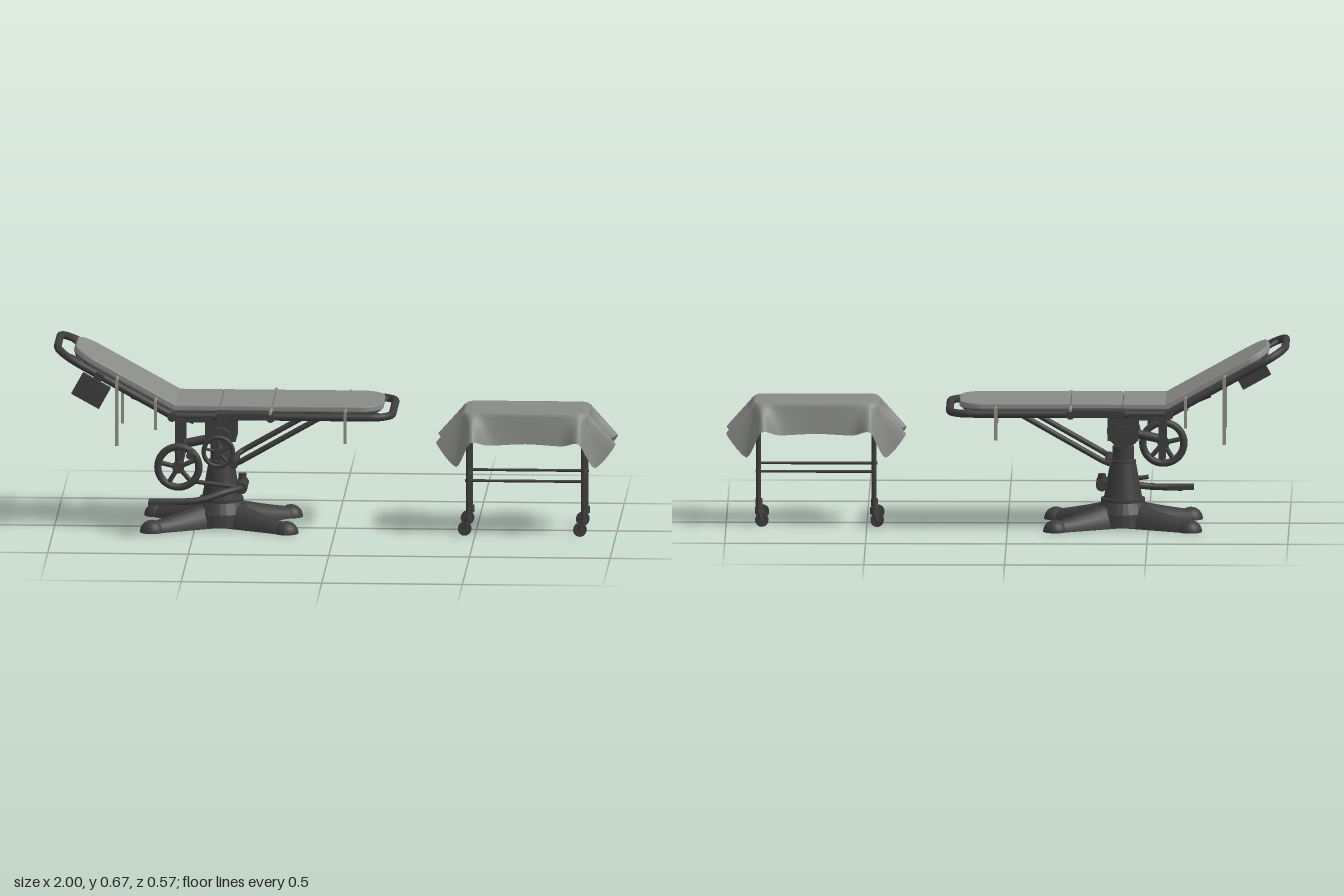
import * as THREE from 'three';

const metal = new THREE.MeshStandardMaterial({ color: 0x3d3d3d });
metal.name = 'darkMetal';
const fabric = new THREE.MeshStandardMaterial({ color: 0x888a87, side: THREE.DoubleSide });
fabric.name = 'greyFabric';
const strapMat = new THREE.MeshStandardMaterial({ color: 0x90908c });
strapMat.name = 'lightMetal';

const V = (x, y, z) => new THREE.Vector3(x, y, z);

function add(parent, name, geo, mat = metal, x = 0, y = 0, z = 0) {
  const m = new THREE.Mesh(geo, mat);
  m.name = name;
  m.position.set(x, y, z);
  parent.add(m);
  return m;
}
const box = (p, name, w, h, d, x, y, z, mat) => add(p, name, new THREE.BoxGeometry(w, h, d), mat, x, y, z);

// Round bar between two points, optionally tapered
function rod(p, name, a, b, r, mat = metal, r2 = r, sides = 14) {
  const A = V(...a), B = V(...b);
  const m = add(p, name, new THREE.CylinderGeometry(r2, r, A.distanceTo(B), sides), mat);
  m.position.copy(A).add(B).multiplyScalar(0.5);
  m.quaternion.setFromUnitVectors(V(0, 1, 0), B.sub(A).normalize());
  return m;
}

// Bent tube with rounded corners
function bentTube(p, name, pts, r, corner, segs = 90) {
  const path = new THREE.CurvePath();
  const v = pts.map(a => V(...a));
  let from = v[0];
  for (let i = 1; i < v.length - 1; i++) {
    const toPrev = v[i - 1].clone().sub(v[i]).setLength(corner).add(v[i]);
    const toNext = v[i + 1].clone().sub(v[i]).setLength(corner).add(v[i]);
    const k1 = toPrev.clone().lerp(v[i], 0.6), k2 = toNext.clone().lerp(v[i], 0.6);
    path.add(new THREE.LineCurve3(from, toPrev));
    path.add(new THREE.CubicBezierCurve3(toPrev, k1, k2, toNext));
    from = toNext;
  }
  path.add(new THREE.LineCurve3(from, v[v.length - 1]));
  return add(p, name, new THREE.TubeGeometry(path, segs, r, 12), metal);
}

// Pad from x = a to x = b; the b end has rounded corners of radius r
function pad(p, name, a, b, y, h, r, mat = fabric, half = 0.149) {
  const s = new THREE.Shape(), d = Math.sign(b - a), e = b - d * r;
  s.moveTo(a, -half);
  s.lineTo(e, -half);
  s.quadraticCurveTo(b - d * r * 0.15, -half + r * 0.15, b, -half + r);
  s.lineTo(b, half - r);
  s.quadraticCurveTo(b - d * r * 0.15, half - r * 0.15, e, half);
  s.lineTo(a, half);
  const bev = Math.min(0.006, h / 3);
  const g = new THREE.ExtrudeGeometry(s, {
    depth: h - 2 * bev, bevelThickness: bev, bevelSize: bev, bevelOffset: -bev, bevelSegments: 3, curveSegments: 10,
  });
  g.rotateX(-Math.PI / 2);
  return add(p, name, g, mat, 0, y + bev, 0);
}

function handWheel(p, name, x, y, z, r, t, spokes) {
  const g = new THREE.Group();
  g.name = name;
  g.position.set(x, y, z);
  add(g, 'wheelRim', new THREE.TorusGeometry(r - t, t, 12, 40));
  rod(g, 'wheelHub', [0, 0, -0.02], [0, 0, 0.02], r * 0.24);
  for (let i = 0; i < spokes; i++) {
    const a = (i / spokes) * Math.PI * 2 + 0.4;
    rod(g, 'wheelSpoke', [0, 0, 0], [Math.cos(a) * (r - t), Math.sin(a) * (r - t), 0], t * 0.65);
  }
  p.add(g);
}

function buildPedestal(p) {
  const cx = -0.41;
  // Column, turned as one profile
  const prof = [[0.105, 0.005], [0.1, 0.05], [0.078, 0.088], [0.078, 0.1], [0.068, 0.102], [0.046, 0.225], [0.046, 0.235],
    [0.038, 0.238], [0.038, 0.285], [0.032, 0.287], [0.032, 0.42]];
  const col = add(p, 'column', new THREE.LatheGeometry(prof.map(q => new THREE.Vector2(...q)), 28), metal, cx, 0, 0);
  col.geometry = col.geometry.toNonIndexed();
  col.geometry.computeVertexNormals();
  // Four splayed feet
  for (const sx of [-1, 1]) for (const sz of [-1, 1]) {
    const g = new THREE.CylinderGeometry(0.036, 0.062, 0.26, 20, 6);
    g.rotateZ(-Math.PI / 2);
    g.translate(0.15, 0, 0);
    const pos = g.attributes.position;
    for (let i = 0; i < pos.count; i++) {
      const t = (pos.getX(i) - 0.02) / 0.26;
      pos.setY(i, Math.max(0, pos.getY(i)) * (1.55 - 0.55 * t));
    }
    g.computeVertexNormals();
    const foot = new THREE.Group();
    foot.name = 'foot';
    foot.position.set(cx, 0, 0);
    foot.rotation.y = -Math.atan2(sz * 0.155, sx * 0.24);
    add(foot, 'footArm', g);
    const dome = new THREE.SphereGeometry(0.043, 20, 8, 0, Math.PI * 2, 0, Math.PI / 2);
    add(foot, 'footTip', dome, metal, 0.285, 0, 0);
    p.add(foot);
  }
  // Pedal lever
  rod(p, 'pedalPivot', [-0.335, 0.147, 0.09], [-0.335, 0.147, -0.035], 0.021);
  rod(p, 'pivotBoltHead', [-0.335, 0.165, 0], [-0.335, 0.185, 0], 0.014);
  bentTube(p, 'pedalArm', [[-0.335, 0.147, 0.08], [-0.38, 0.145, 0.13], [-0.48, 0.115, 0.165], [-0.62, 0.11, 0.17]], 0.012, 0.04, 40);
  box(p, 'pedal', 0.09, 0.014, 0.062, -0.615, 0.112, 0.175);
  rod(p, 'releaseLever', [-0.5, 0.165, 0.06], [-0.34, 0.145, 0.06], 0.008);
  // Tilting head block and gear shafts
  box(p, 'headBlock', 0.11, 0.1, 0.17, cx, 0.365, 0);
  rod(p, 'tiltDrum', [cx, 0.33, -0.1], [cx, 0.33, 0.12], 0.04);
  rod(p, 'smallWheelShaft', [cx, 0.305, 0.08], [cx, 0.305, 0.225], 0.012);
  handWheel(p, 'smallHandWheel', cx, 0.305, 0.219, 0.06, 0.008, 5);
  rod(p, 'largeWheelShaft', [-0.55, 0.257, -0.08], [-0.55, 0.257, 0.265], 0.013);
  handWheel(p, 'largeHandWheel', -0.55, 0.257, 0.259, 0.086, 0.013, 5);
  rod(p, 'crankHandle', [-0.505, 0.315, 0.25], [-0.505, 0.315, 0.348], 0.009, metal, 0.013);
  for (const z of [-0.06, 0.12, 0.22]) box(p, 'shaftHanger', 0.026, 0.17, 0.016, -0.55, 0.335, z);
  rod(p, 'gearLink', [-0.55, 0.3, 0.06], [cx, 0.33, 0.06], 0.016);
  // U-shaped supporting strut
  bentTube(p, 'strut', [[-0.05, 0.412, -0.105], [-0.36, 0.235, -0.105], [-0.36, 0.235, 0.105], [-0.05, 0.412, 0.105]], 0.01, 0.04);
  rod(p, 'strutPivot', [-0.36, 0.235, -0.06], [-0.36, 0.235, 0.11], 0.014);
}

function buildTableTop(p) {
  const tilt = 29 * Math.PI / 180, bx = -0.575, by = 0.428, L = 0.472, rz = 0.19;
  const onBack = (d, z, h = 0) => [bx - d * Math.cos(tilt) + h * Math.sin(tilt), by + d * Math.sin(tilt) + h * Math.cos(tilt), z];
  // Tubular frame
  bentTube(p, 'backFrame', [[bx, by, -rz], onBack(L, -rz), onBack(L, rz), [bx, by, rz]], 0.014, 0.105);
  bentTube(p, 'legFrame', [[bx, by, -rz], [0.204, by, -rz], [0.204, by, rz], [bx, by, rz]], 0.014, 0.08);
  // Mattress sections and their support boards
  pad(p, 'seatPad', -0.575, -0.411, 0.437, 0.023, 0.001);
  pad(p, 'middlePad', -0.409, -0.226, 0.437, 0.023, 0.001);
  pad(p, 'legPad', -0.224, 0.17, 0.437, 0.023, 0.075);
  pad(p, 'legBoard', -0.575, 0.16, 0.43, 0.008, 0.07, metal, 0.142);
  const back = new THREE.Group();
  back.name = 'backRest';
  back.position.set(bx, by, 0);
  back.rotation.z = -tilt;
  pad(back, 'backPad', 0, -0.415, 0.01, 0.024, 0.075);
  pad(back, 'backBoard', 0, -0.405, 0.002, 0.008, 0.07, metal, 0.142);
  // Control box clipped to the back frame
  box(back, 'controlBox', 0.112, 0.085, 0.03, -0.297, -0.058, 0.212);
  box(back, 'controlBoxLid', 0.09, 0.065, 0.006, -0.297, -0.058, 0.229);
  box(back, 'controlBoxClip', 0.03, 0.04, 0.02, -0.297, -0.01, 0.2);
  rod(back, 'controlKnob', [-0.312, -0.04, 0.225], [-0.312, -0.04, 0.242], 0.01);
  p.add(back);
  // Cross members under the pads
  for (const d of [0.085, 0.235]) rod(p, 'backCrossBar', onBack(d, -rz, -0.003), onBack(d, rz, -0.003), 0.008);
  for (const x of [-0.05, 0.03]) rod(p, 'legCrossBar', [x, by, -rz], [x, by, rz], 0.008);
  for (const x of [bx, -0.225]) {
    rod(p, 'hingeShaft', [x, by, -0.225], [x, by, 0.232], 0.011);
    for (const s of [-1, 1]) rod(p, 'hingeKnob', [x, by, s * 0.205], [x, by, s * 0.222], 0.016);
  }
  for (const s of [-1, 1]) {
    box(p, 'sidePlate', 0.19, 0.022, 0.07, -0.322, 0.431, s * 0.18);
    box(p, 'seatBracket', 0.13, 0.014, 0.016, -0.5, 0.415, s * 0.2);
    box(p, 'underRail', 0.5, 0.018, 0.016, -0.33, 0.416, s * 0.1);
    rod(p, 'backSupport', [-0.5, 0.4, s * 0.16], onBack(0.16, s * 0.16, -0.015), 0.008);
    // Diagonal corner spokes
    rod(p, 'cornerSpoke', onBack(0.38, s * 0.115), onBack(0.452, s * 0.165), 0.008);
    rod(p, 'cornerSpoke', [0.125, by, s * 0.115], [0.185, by, s * 0.17], 0.008);
    // Light clips with hanging straps
    const clips = [[onBack(0.235, s, 0.018), 0.32], [onBack(0.078, s, 0.018), 0.38], [[0.04, 0.446, s], 0.335]];
    for (const [[x, y], low] of clips) {
      rod(p, 'strapClip', [x, y, s * 0.13], [x, y, s * 0.206], 0.005, strapMat);
      box(p, 'hangingStrap', 0.011, y - low, 0.005, x, (y + low) / 2, s * 0.206, strapMat);
    }
    rod(p, 'sideClip', [-0.225, 0.446, s * 0.13], [-0.225, 0.446, s * 0.225], 0.006, strapMat);
  }
}

// Draped cloth: lofted from a rounded top edge to a flared, pointed hem
function buildCloth(p) {
  const edge = [[0.225, 0.44, 0], [0.225, 0.44, 0.05], [0.224, 0.44, 0.085], [0.215, 0.44, 0.106], [0.193, 0.44, 0.115], [0.14, 0.44, 0.116], [0, 0.44, 0.116]];
  const hem = [[0.24, 0.303, 0], [0.25, 0.3, 0.045], [0.32, 0.332, 0.082], [0.247, 0.25, 0.118], [0.193, 0.352, 0.202], [0.13, 0.333, 0.142], [0, 0.337, 0.128]];
  const loop = q => {
    const m = (i, sx, sz) => V(q[i][0] * sx, q[i][1], q[i][2] * sz);
    const pts = [];
    for (let i = 0; i <= 6; i++) pts.push(m(i, 1, 1));
    for (let i = 5; i >= 0; i--) pts.push(m(i, -1, 1));
    for (let i = 1; i <= 6; i++) pts.push(m(i, -1, -1));
    for (let i = 5; i >= 1; i--) pts.push(m(i, 1, -1));
    return new THREE.CatmullRomCurve3(pts, true, 'catmullrom', 0.4);
  };
  const N = 120, R = 14, top = loop(edge), low = loop(hem), pos = [], idx = [];
  for (let j = 0; j <= R; j++) for (let i = 0; i < N; i++) {
    const a = top.getPoint(i / N), b = low.getPoint(i / N);
    if (j < 3) {
      const k = [0, 0.85, 0.96][j];
      pos.push(a.x * k, 0.446, a.z * k);
    } else {
      const t = (j - 3) / (R - 3);
      const v = a.lerp(b, t);
      pos.push(v.x, v.y, v.z);
    }
  }
  for (let j = 0; j < R; j++) for (let i = 0; i < N; i++) {
    const a = j * N + i, c = j * N + (i + 1) % N;
    idx.push(a, c, a + N, c, c + N, a + N);
  }
  const g = new THREE.BufferGeometry();
  g.setAttribute('position', new THREE.Float32BufferAttribute(pos, 3));
  g.setIndex(idx);
  g.computeVertexNormals();
  add(p, 'drapedCloth', g, fabric);
}

function buildTrolley(p) {
  box(p, 'tray', 0.43, 0.012, 0.21, 0, 0.428, 0);
  for (const sx of [-1, 1]) {
    for (const sz of [-1, 1]) {
      const x = sx * 0.205, z = sz * 0.1;
      rod(p, 'leg', [x, 0.065, z], [x, 0.425, z], 0.008);
      // Caster: fork and wheel
      rod(p, 'casterStem', [x, 0.045, z], [x, 0.07, z], 0.013);
      for (const s of [-1, 1]) rod(p, 'casterFork', [x, 0.06, z + s * 0.014], [x - 0.012, 0.022, z + s * 0.016], 0.007);
      rod(p, 'casterWheel', [x - 0.012, 0.024, z - 0.011], [x - 0.012, 0.024, z + 0.011], 0.024, metal, 0.024, 20);
    }
    rod(p, 'endRail', [sx * 0.205, 0.198, -0.118], [sx * 0.205, 0.198, 0.118], 0.005);
    rod(p, 'sideRail', [-0.215, 0.198, sx * 0.1], [0.215, 0.198, sx * 0.1], 0.005);
  }
  buildCloth(p);
}

export function createModel() {
  const model = new THREE.Group();
  model.name = 'operatingTableAndTrolley';
  const parts = [['pedestal', buildPedestal, 0, -0.054], ['tableTop', buildTableTop, 0, -0.054], ['trolley', buildTrolley, 0.68, 0.004]];
  for (const [name, build, x, z] of parts) {
    const g = new THREE.Group();
    g.name = name;
    g.position.set(x, 0, z);
    build(g);
    model.add(g);
  }
  return model;
}
